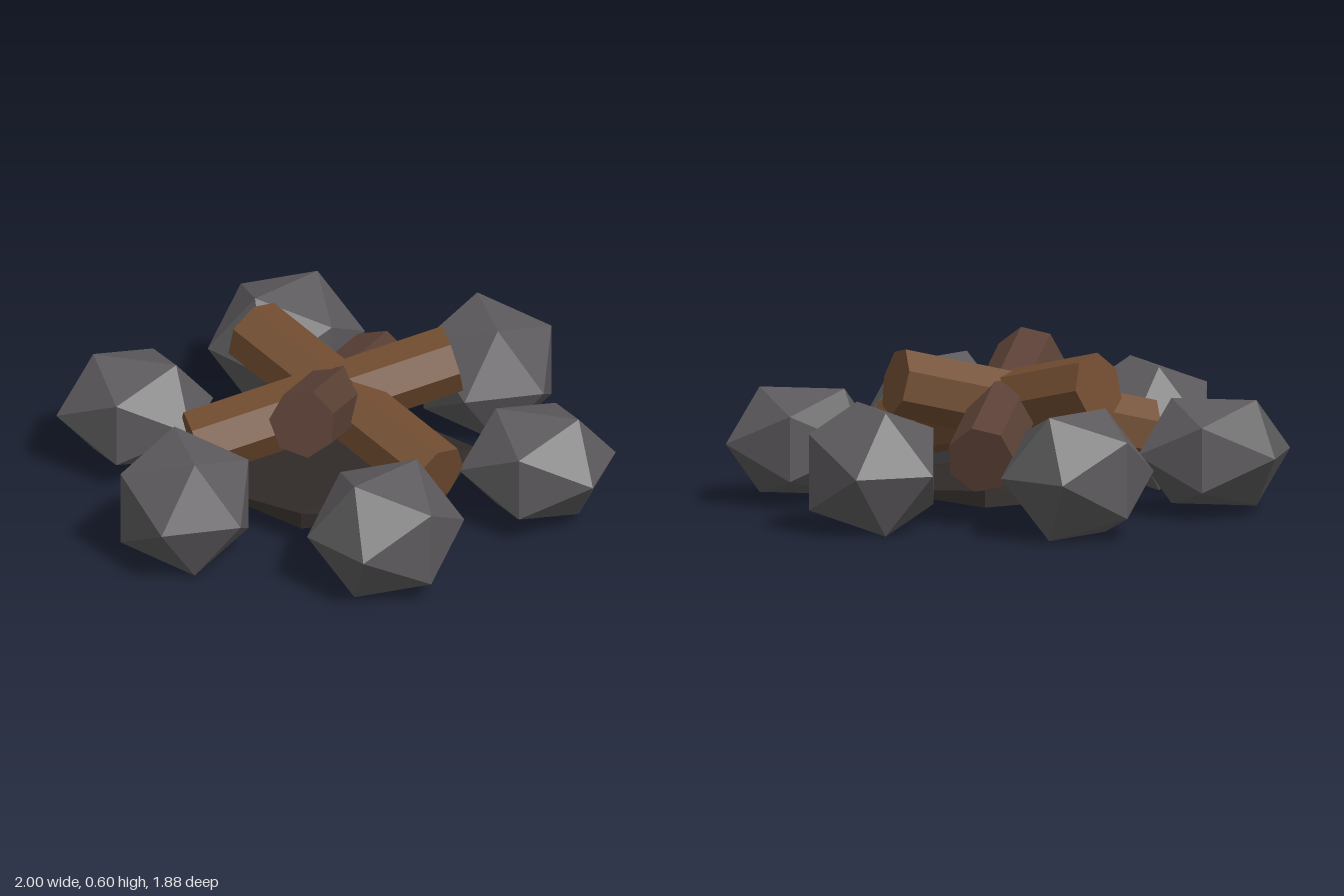
import * as THREE from 'three';

const material = (color) => new THREE.MeshStandardMaterial({ color, flatShading: true });

export function createModel() {
  const model = new THREE.Group();
  model.name = 'campfire';
  const add = (name, geometry, mat) => {
    const mesh = new THREE.Mesh(geometry, mat);
    mesh.name = name;
    model.add(mesh);
    return mesh;
  };

  // Ring of six squashed stones; the two side stones are flatter
  const stoneMat = material(0x5c5a5c);
  const stoneGeo = new THREE.IcosahedronGeometry(1, 0);
  for (let i = 0; i < 6; i++) {
    const a = (i * Math.PI) / 3;
    const stone = add('stone' + (i + 1), stoneGeo, stoneMat);
    stone.position.set(0.75 * Math.cos(a), 0.224, 0.75 * Math.sin(a));
    stone.rotation.y = a;
    stone.scale.set(0.294, i % 3 ? 0.262 : 0.224, 0.277);
  }

  // Flattened bed of ash
  const ash = add('ashBed', new THREE.IcosahedronGeometry(0.522, 0), material(0x302a28));
  ash.scale.y = 0.11;
  ash.position.y = 0.095;

  // Three leaning seven-sided logs crossing at the middle
  const logGeo = new THREE.CylinderGeometry(0.125, 0.125, 0.98, 7);
  logGeo.rotateY(-Math.PI / 2);
  logGeo.rotateX(Math.PI / 2 - 0.237);
  logGeo.translate(0, 0.363, -0.05);
  [0x5a4035, 0x704c30, 0x704c30].forEach((color, i) => {
    const log = add('log' + (i + 1), logGeo, material(color));
    log.rotation.y = (i * 2 * Math.PI) / 3;
  });

  return model;
}
